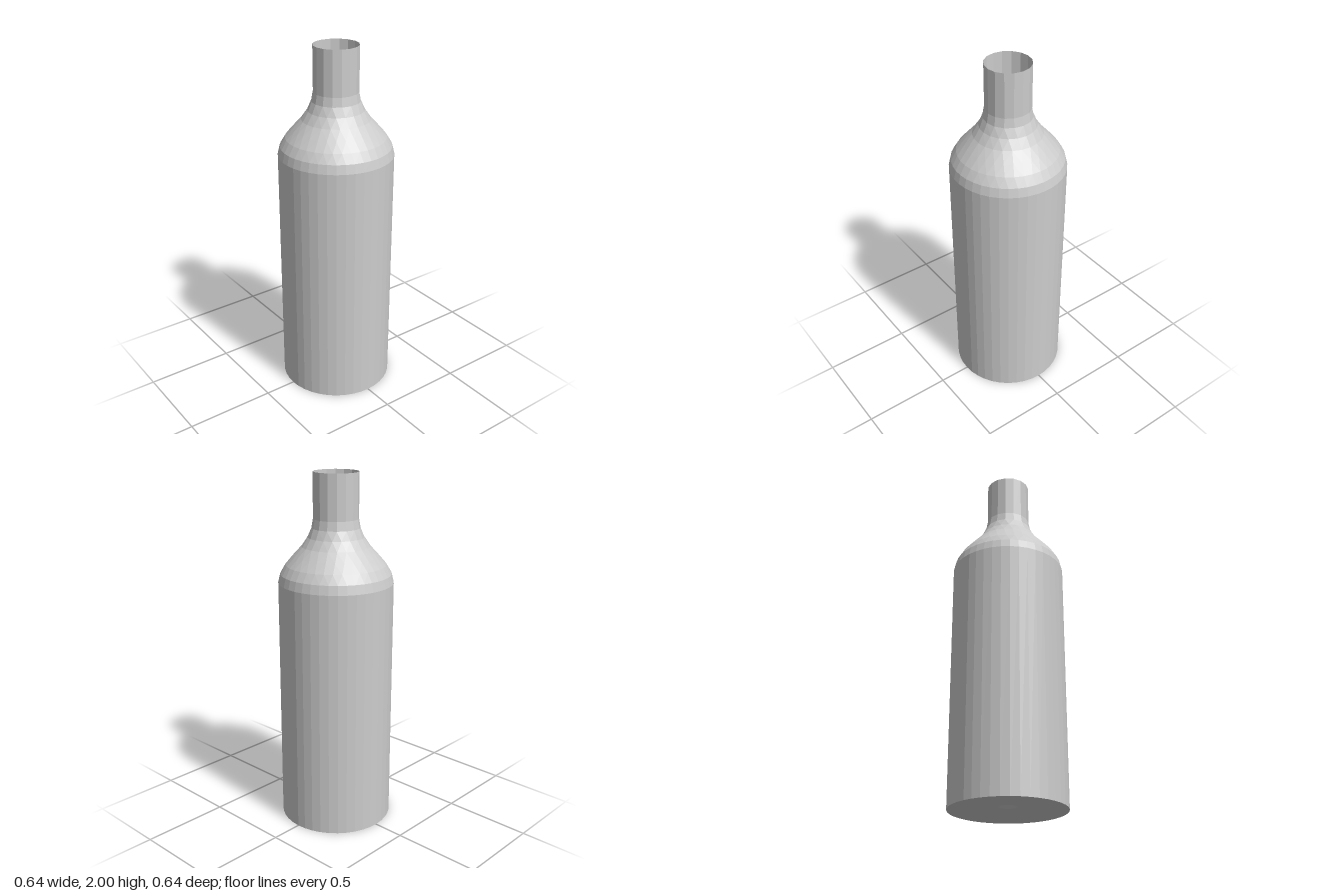
import * as THREE from 'three';

const glass = new THREE.MeshStandardMaterial({ color: 0xcccccc, flatShading: true, side: THREE.DoubleSide });
glass.name = 'light grey';

// Skin between rings [radius, height, sides]; neighbouring rings may have different side counts.
function skin(name, rings) {
  const pos = [];
  const add = (ring, k) => {
    const t = (k / ring[2]) * Math.PI * 2;
    pos.push(ring[0] * Math.sin(t), ring[1], ring[0] * Math.cos(t));
  };
  for (let s = 0; s < rings.length - 1; s++) {
    const a = rings[s], b = rings[s + 1];
    let i = 0, j = 0;
    while (i < a[2] || j < b[2]) {
      const stepA = j >= b[2] || (i < a[2] && (i + 1) / a[2] < (j + 1) / b[2]);
      if (stepA) {
        if (a[0] > 0) { add(a, i); add(a, i + 1); add(b, j); }
        i++;
      } else {
        add(a, i); add(b, j + 1); add(b, j);
        j++;
      }
    }
  }
  const geo = new THREE.BufferGeometry();
  geo.setAttribute('position', new THREE.Float32BufferAttribute(pos, 3));
  geo.computeVertexNormals();
  const mesh = new THREE.Mesh(geo, glass);
  mesh.name = name;
  return mesh;
}

export function createModel() {
  const bottle = new THREE.Group();
  bottle.name = 'bottle';
  bottle.add(
    // base with a shallow raised centre
    skin('base', [[0, 0.05, 1], [0.05, 0.02, 8], [0.13, 0.008, 16], [0.32, 0, 40]]),
    // straight body
    skin('body', [[0.32, 0, 40], [0.32, 1.4, 40]]),
    // shoulder losing sides towards the neck
    skin('shoulder', [
      [0.32, 1.4, 40], [0.308, 1.45, 40], [0.278, 1.5, 36], [0.235, 1.55, 30],
      [0.19, 1.6, 24], [0.156, 1.65, 20], [0.134, 1.7, 16], [0.125, 1.75, 16],
    ]),
    // open neck
    skin('neck', [[0.125, 1.75, 16], [0.125, 2, 16]]),
  );
  return bottle;
}
